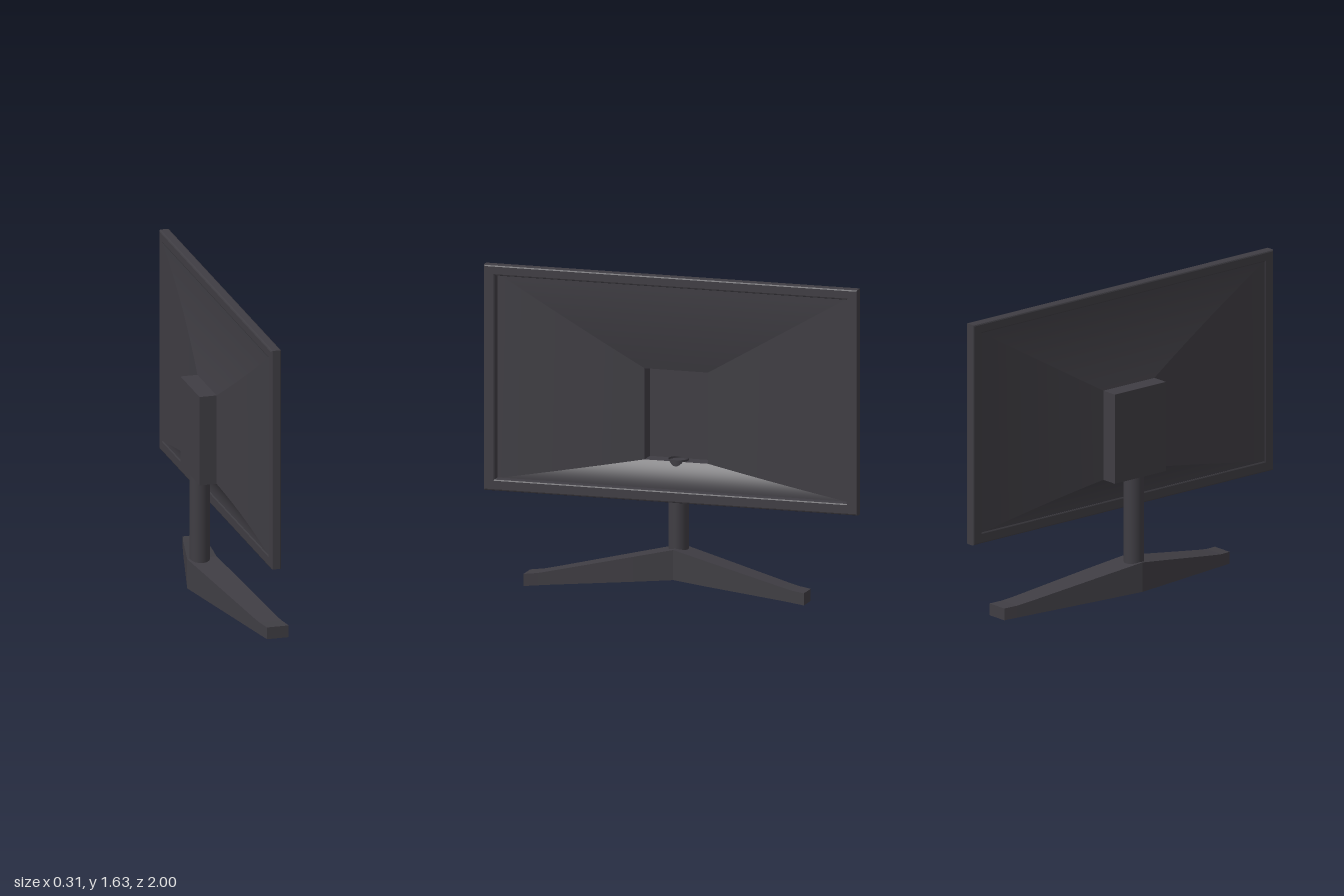
import * as THREE from 'three';

const plastic = new THREE.MeshStandardMaterial({ color: 0x3f3d43, side: THREE.DoubleSide });
plastic.name = 'dark plastic';

function part(name, geometry, parent) {
  const mesh = new THREE.Mesh(geometry, plastic);
  mesh.name = name;
  parent.add(mesh);
  return mesh;
}

function rectangle(path, halfWidth, bottom, top) {
  path.moveTo(-halfWidth, bottom);
  path.lineTo(halfWidth, bottom);
  path.lineTo(halfWidth, top);
  path.lineTo(-halfWidth, top);
  path.closePath();
  return path;
}

// Bezel with a rectangular opening, edges slightly bevelled
function frameGeometry() {
  const shape = rectangle(new THREE.Shape(), 1, 0.46, 1.635);
  shape.holes.push(rectangle(new THREE.Path(), 0.94, 0.52, 1.58));
  const geometry = new THREE.ExtrudeGeometry(shape, {
    depth: 0.039, bevelThickness: 0.008, bevelSize: 0.008, bevelOffset: -0.008, bevelSegments: 2,
  });
  return geometry.translate(0, 0, -0.004).rotateY(Math.PI / 2);
}

// One of the four curved sides of the back shell, from the bezel in to the housing
function shellSide(side, steps = 14) {
  const positions = [];
  const index = [];
  for (let r = 0; r <= steps; r++) {
    const t = r / steps;
    const x = -0.008 - 0.047 * t * t;
    const z = THREE.MathUtils.lerp(0.945, 0.17, t);
    const top = THREE.MathUtils.lerp(1.585, 1.13, t);
    const bottom = THREE.MathUtils.lerp(0.515, 0.655, t);
    const corners = [[x, top, z], [x, top, -z], [x, bottom, -z], [x, bottom, z]];
    positions.push(...corners[side], ...corners[(side + 1) % 4]);
    if (r < steps) {
      const a = 2 * r;
      index.push(a, a + 1, a + 3, a, a + 3, a + 2);
    }
  }
  const geometry = new THREE.BufferGeometry();
  geometry.setAttribute('position', new THREE.Float32BufferAttribute(positions, 3));
  geometry.setIndex(index);
  geometry.computeVertexNormals();
  return geometry;
}

// Box housing, open towards the screen side
function housingGeometry() {
  const geometry = new THREE.BoxGeometry(0.09, 0.475, 0.34);
  geometry.setIndex([...geometry.index.array].slice(6));
  geometry.clearGroups();
  return geometry.translate(-0.1, 0.8925, 0);
}

// V-shaped foot lofted through four-cornered sections along z
function footGeometry() {
  // distance from centre, back x, front x, bottom y, top y
  const half = [
    [0, -0.16, -0.005, 0.048, 0.205],
    [0.2, -0.107, 0.039, 0.035, 0.165],
    [0.62, 0.004, 0.124, 0.009, 0.08],
    [0.68, 0.02, 0.138, 0.005, 0.069],
    [0.75, 0.04, 0.155, 0, 0.063],
  ];
  const stations = [
    ...half.slice(1).reverse().map(([z, ...rest]) => [-z, ...rest]),
    ...half,
  ];
  const sections = stations.map(([z, back, front, low, high]) => [
    [back, high, z], [front, high, z], [front, low, z], [back, low, z],
  ]);
  const positions = [];
  const quad = (a, b, c, d) => positions.push(...a, ...b, ...c, ...a, ...c, ...d);
  for (let s = 0; s < sections.length - 1; s++) {
    const a = sections[s];
    const b = sections[s + 1];
    for (let i = 0; i < 4; i++) {
      const j = (i + 1) % 4;
      quad(a[i], b[i], b[j], a[j]);
    }
  }
  quad(...sections[0]);
  quad(...[...sections[sections.length - 1]].reverse());
  const geometry = new THREE.BufferGeometry();
  geometry.setAttribute('position', new THREE.Float32BufferAttribute(positions, 3));
  geometry.computeVertexNormals();
  return geometry;
}

export function createModel() {
  const model = new THREE.Group();
  model.name = 'monitor';

  part('bezel', frameGeometry(), model);

  const shell = new THREE.Group();
  shell.name = 'backShell';
  ['top', 'right', 'bottom', 'left'].forEach((name, i) => part(name + 'ShellSide', shellSide(i), shell));
  model.add(shell);

  part('mountHousing', housingGeometry(), model);

  // Hollow post, reaching just inside the housing
  const post = part('post', new THREE.CylinderGeometry(0.052, 0.052, 0.485, 32, 1, true), model);
  post.position.set(-0.093, 0.4225, 0);

  part('foot', footGeometry(), model);
  return model;
}
